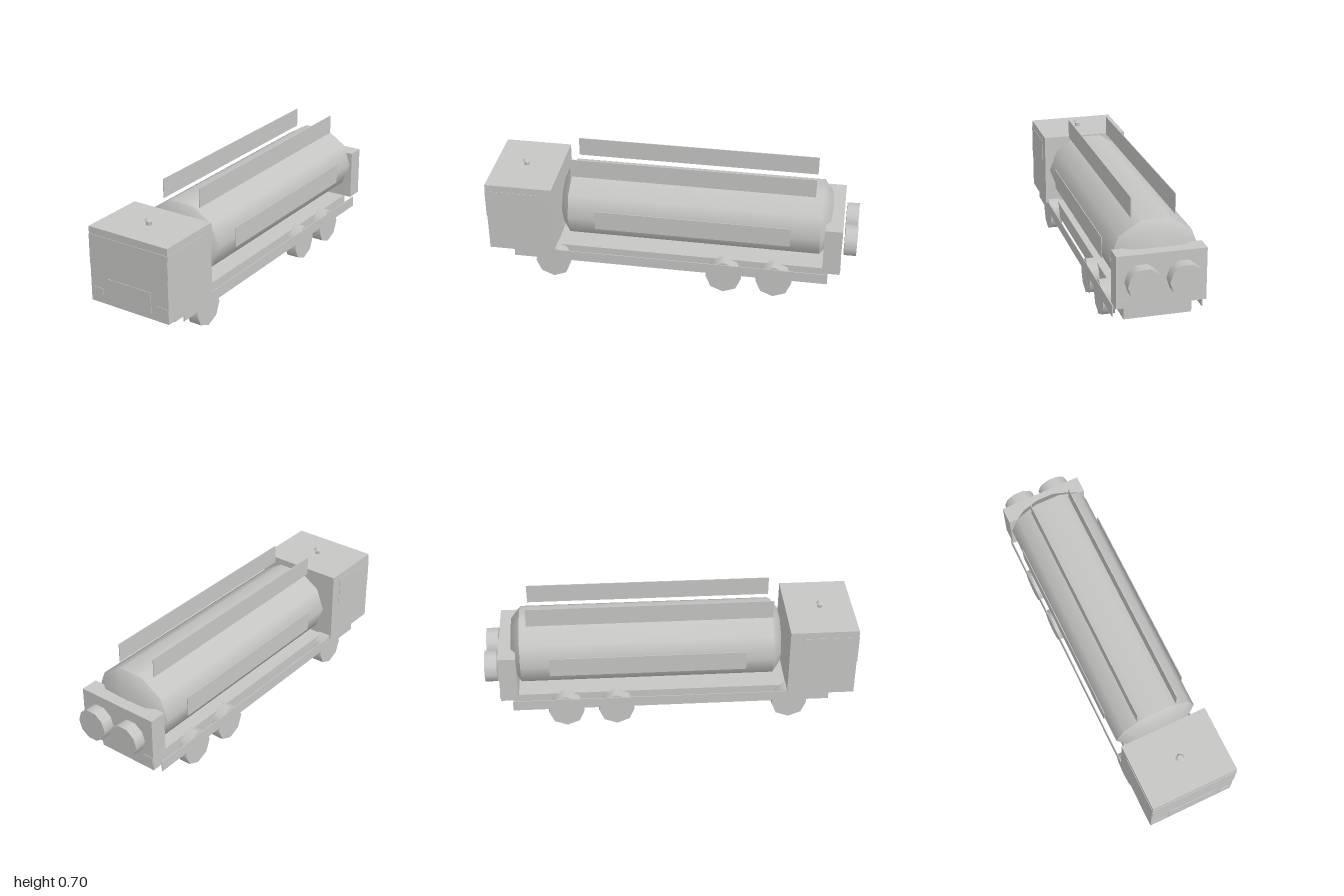
import * as THREE from 'three';

export function createModel() {
  const truck = new THREE.Group();
  truck.name = 'tankerTruck';
  const grey = new THREE.MeshStandardMaterial({ color: 0xc6c6c4 });
  grey.name = 'paleGrey';

  const add = (name, geometry, x = 0, y = 0, z = 0) => {
    const mesh = new THREE.Mesh(geometry, grey);
    mesh.name = name;
    mesh.position.set(x, y, z);
    truck.add(mesh);
    return mesh;
  };
  // Box given by its limits on each axis
  const box = (name, x0, x1, y0, y1, z0, z1) =>
    add(name, new THREE.BoxGeometry(x1 - x0, y1 - y0, z1 - z0),
      (x0 + x1) / 2, (y0 + y1) / 2, (z0 + z1) / 2);
  // Thin upright plate on one side, facing along x
  const sidePlate = (name, x, y0, y1, z0, z1) =>
    box(name, x - 0.002, x + 0.002, y0, y1, z0, z1);

  // Chassis and cab
  box('chassis', -0.175, 0.175, 0.098, 0.18, -0.86, 0.86);
  box('cab', -0.24, 0.24, 0.165, 0.572, 0.63, 0.995);
  box('windscreen', -0.24, 0.24, 0.37, 0.533, 0.994, 0.998);
  box('grille', -0.135, 0.135, 0.195, 0.31, 0.994, 0.998);

  // Roof beacon
  add('beaconStem', new THREE.CylinderGeometry(0.015, 0.015, 0.026, 5), 0, 0.584, 0.82)
    .rotation.y = Math.PI;
  add('beaconHead', new THREE.CylinderGeometry(0.014, 0.026, 0.014, 5), 0, 0.603, 0.82)
    .rotation.y = Math.PI;

  // Ten-sided oval tank with shallow domed ends; profile is [radius, z]
  const tankPart = (name, profile) => {
    const points = profile.map(([r, z]) => new THREE.Vector2(r, z));
    const geometry = new THREE.LatheGeometry(points, 10, Math.PI / 2);
    geometry.rotateX(Math.PI / 2).scale(0.23, 0.2, 1);
    add(name, geometry, 0, 0.4, 0);
  };
  tankPart('tankBody', [[1, -0.805], [1, 0.55]]);
  tankPart('tankFrontEnd', [[1, 0.55], [0.72, 0.595], [0, 0.607]]);
  tankPart('tankRearEnd', [[0, -0.865], [0.7, -0.853], [1, -0.805]]);

  // Rear equipment cabinet
  box('rearCabinet', -0.23, 0.23, 0.188, 0.463, -0.922, -0.828);

  for (const side of [-1, 1]) {
    const label = side > 0 ? 'left' : 'right';

    // Wheels
    [0.645, -0.3, -0.573].forEach((z, i) => {
      const wheel = new THREE.CylinderGeometry(0.097, 0.097, 0.068, 8).rotateZ(Math.PI / 2);
      add(`${label}Wheel${i + 1}`, wheel, side * 0.194, 0.097, z);
    });

    // Side skirt, tank panel and top rail
    sidePlate(`${label}Skirt`, side * 0.231, 0.12, 0.18, -0.86, 0.86);
    sidePlate(`${label}TankPanel`, side * 0.23, 0.345, 0.455, -0.65, 0.4);
    sidePlate(`${label}TopRail`, side * 0.1125, 0.592, 0.697, -0.765, 0.55);

    // Cab side window
    sidePlate(`${label}Window`, side * 0.24, 0.37, 0.533, 0.695, 0.995);

    // Head and tail lights
    const lightX = side * 0.198;
    box(`${label}Headlight`, lightX - 0.033, lightX + 0.033, 0.205, 0.247, 0.994, 0.998);
    box(`${label}TailLight`, lightX - 0.03, lightX + 0.03, 0.2, 0.238, -0.925, -0.921);

    // Rear hose drum
    const drum = new THREE.CylinderGeometry(0.087, 0.087, 0.066, 10, 1, false, Math.PI / 2)
      .rotateX(Math.PI / 2);
    add(`${label}RearDrum`, drum, side * 0.105, 0.333, -0.967);
  }
  return truck;
}
